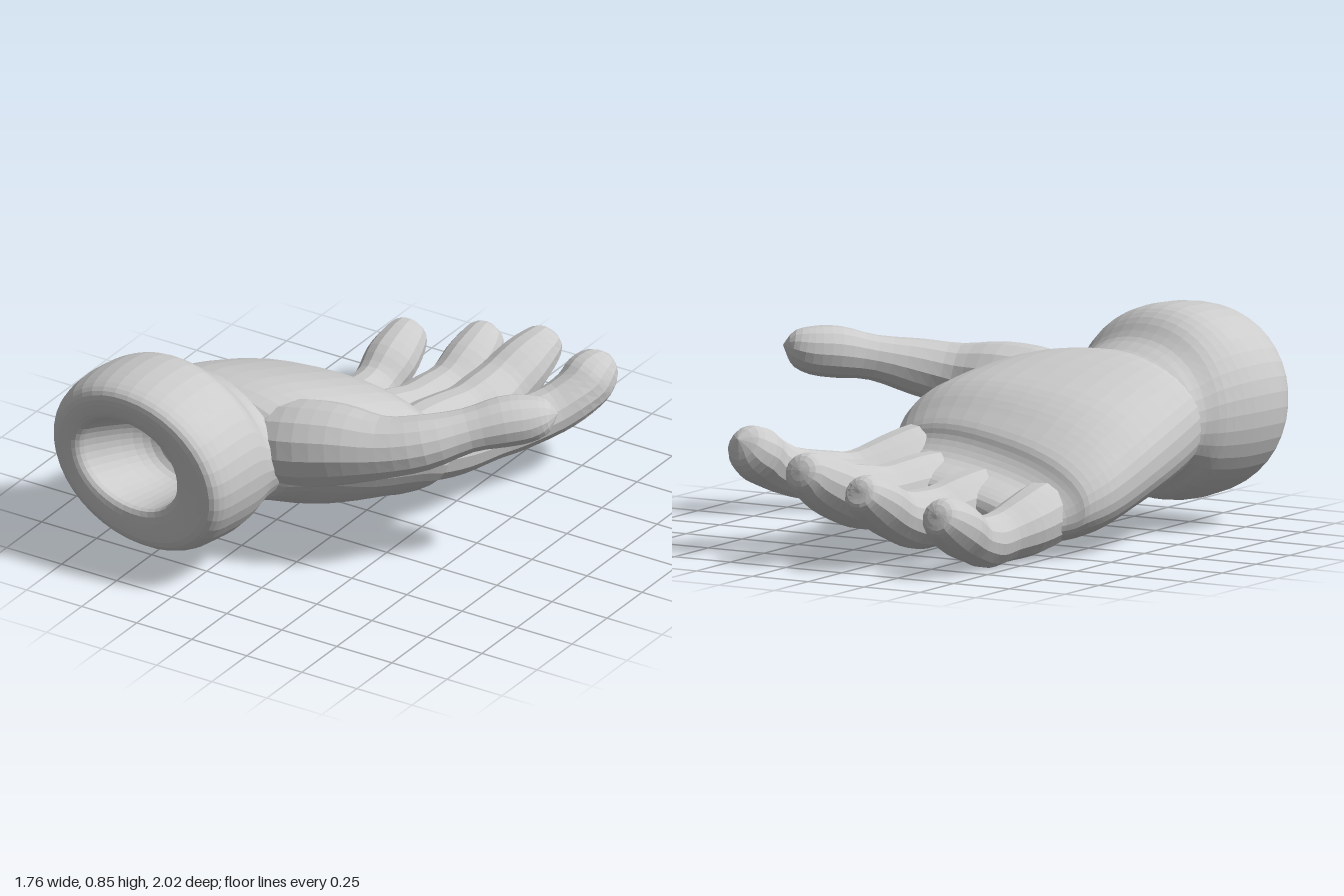
import * as THREE from 'three';

const material = new THREE.MeshStandardMaterial({ color: 0xcccccc, flatShading: true });

// Smooth interpolation through rows of numbers
function spline(rows, steps) {
  const out = [];
  const at = (i) => rows[Math.min(Math.max(i, 0), rows.length - 1)];
  for (let i = 0; i < rows.length - 1; i++) {
    for (let s = 0; s < steps; s++) {
      const t = s / steps;
      out.push(rows[i].map((_, k) => {
        const [a, b, c, d] = [at(i - 1)[k], at(i)[k], at(i + 1)[k], at(i + 2)[k]];
        return b + 0.5 * t * (c - a + t * (2 * a - 5 * b + 4 * c - d + t * (3 * (b - c) + d - a)));
      }));
    }
  }
  out.push(rows[rows.length - 1]);
  return out;
}

// Skin over a list of rings of points
function skin(name, rings) {
  const n = rings[0].length;
  const index = [];
  for (let i = 0; i < rings.length - 1; i++) {
    for (let j = 0; j < n; j++) {
      const a = i * n + j, b = i * n + ((j + 1) % n);
      index.push(a, a + n, b, b, a + n, b + n);
    }
  }
  const geometry = new THREE.BufferGeometry().setFromPoints(rings.flat());
  geometry.setIndex(index);
  geometry.computeVertexNormals();
  const mesh = new THREE.Mesh(geometry, material);
  mesh.name = name;
  return mesh;
}

// Body section: z, centre x, centre y, half width, half height, tilt, z slope in x, z slope in y
// The upper half can be squarer than the lower half
function body(name, sections, topPower, bottomPower, steps = 3, sides = 40) {
  const rings = spline(sections, steps).map(([z, cx, cy, rx, ry, tilt, sx, sy]) => {
    const ring = [];
    for (let j = 0; j < sides; j++) {
      const t = (j / sides) * Math.PI * 2;
      const c = Math.cos(t), s = Math.sin(t);
      const e = 2 / (s > 0 ? topPower : bottomPower);
      const px = Math.sign(c) * Math.abs(c) ** e * Math.max(rx, 0);
      const py = Math.sign(s) * Math.abs(s) ** e * Math.max(ry, 0);
      const x = px * Math.cos(tilt) - py * Math.sin(tilt);
      const y = px * Math.sin(tilt) + py * Math.cos(tilt);
      ring.push(new THREE.Vector3(cx + x, cy + y, z + sx * x + sy * y));
    }
    return ring;
  });
  return skin(name, rings);
}

// Digit: path of x, y, z, radius with a rounded tip
function digit(name, path, sides = 14) {
  const rows = spline(path, 3);
  const up = new THREE.Vector3(0, 1, 0);
  const point = (r) => new THREE.Vector3(r[0], r[1], r[2]);
  const rings = rows.map((row, i) => {
    const d = point(rows[Math.min(i + 1, rows.length - 1)]).sub(point(rows[Math.max(i - 1, 0)])).normalize();
    const u = d.clone().cross(up).normalize();
    const v = u.clone().cross(d);
    return Array.from({ length: sides }, (_, j) => {
      const t = (j / sides) * Math.PI * 2, r = Math.max(row[3], 0);
      return point(row).addScaledVector(u, r * Math.cos(t)).addScaledVector(v, r * Math.sin(t));
    });
  });
  return skin(name, rings);
}

export function createModel() {
  const hand = new THREE.Group();
  hand.name = 'hand';

  // Thick wrist cuff with a flat rim and a hollow cup in its end
  hand.add(body('wristCuff', [
    [0.61, -0.44, 0.43, 0, 0, 0, 0.1, 0.1],
    [0.62, -0.44, 0.43, 0.12, 0.11, 0, 0.1, 0.1],
    [0.69, -0.455, 0.44, 0.18, 0.155, 0, 0.1, 0.1],
    [0.85, -0.485, 0.465, 0.22, 0.183, 0, 0.1, 0.1],
    [0.925, -0.495, 0.475, 0.237, 0.197, 0, 0.1, 0.12],
    [0.95, -0.475, 0.47, 0.3, 0.26, 0, 0.1, 0.13],
    [0.95, -0.46, 0.47, 0.37, 0.325, 0, 0.1, 0.13],
    [0.9, -0.46, 0.47, 0.41, 0.36, 0, 0.09, 0.12],
    [0.8, -0.455, 0.475, 0.425, 0.375, 0, 0.06, 0.05],
    [0.69, -0.44, 0.472, 0.415, 0.376, 0, 0.1, 0],
    [0.6, -0.415, 0.465, 0.39, 0.345, 0, 0.2, 0.05],
    [0.54, -0.39, 0.455, 0.365, 0.285, 0, 0.25, 0.05],
    [0.47, -0.37, 0.45, 0.35, 0.25, 0, 0.25, 0.05],
    [0.38, -0.35, 0.44, 0.3, 0.2, 0, 0.15, 0],
    [0.36, -0.35, 0.44, 0, 0, 0, 0.1, 0],
  ], 2.05, 2.05));

  // Tilted palm with a step down to the webbed finger roots
  hand.add(body('palm', [
    [0.62, -0.36, 0.45, 0, 0, 0, 0, 0],
    [0.58, -0.35, 0.45, 0.3, 0.2, 0, 0, 0],
    [0.45, -0.31, 0.445, 0.43, 0.255, 0.04, 0, 0],
    [0.3, -0.245, 0.405, 0.505, 0.277, 0.06, 0, 0],
    [0.1, -0.195, 0.35, 0.545, 0.268, 0.09, 0.03, 0],
    [0, -0.175, 0.31, 0.545, 0.255, 0.11, 0.08, 0],
    [-0.08, -0.165, 0.275, 0.53, 0.228, 0.12, 0.13, 0],
    [-0.15, -0.155, 0.248, 0.495, 0.195, 0.14, 0.17, 0],
    [-0.18, -0.147, 0.222, 0.465, 0.162, 0.15, 0.18, 0],
    [-0.24, -0.137, 0.2, 0.425, 0.13, 0.15, 0.15, 0],
    [-0.34, -0.13, 0.195, 0.385, 0.1, 0.16, 0.1, 0],
    [-0.4, -0.13, 0.19, 0.31, 0.065, 0.16, 0.1, 0],
    [-0.42, -0.13, 0.19, 0, 0, 0.16, 0.1, 0],
  ], 2.35, 2.1));

  // Fingers and thumb, each swelling at the joints
  const digits = {
    littleFinger: [
      [-0.45, 0.2, -0.1, 0.11], [-0.44, 0.165, -0.25, 0.128], [-0.43, 0.137, -0.38, 0.12],
      [-0.41, 0.115, -0.5, 0.102], [-0.4, 0.106, -0.6, 0.102], [-0.4, 0.13, -0.7, 0.092],
      [-0.4, 0.18, -0.8, 0.105], [-0.4, 0.23, -0.9, 0.09], [-0.4, 0.255, -0.95, 0.062], [-0.4, 0.26, -0.965, 0],
    ],
    ringFinger: [
      [-0.18, 0.22, -0.1, 0.11], [-0.16, 0.2, -0.27, 0.125], [-0.135, 0.18, -0.4, 0.125],
      [-0.115, 0.17, -0.5, 0.115], [-0.1, 0.17, -0.62, 0.115], [-0.08, 0.2, -0.73, 0.1],
      [-0.07, 0.255, -0.84, 0.103], [-0.07, 0.305, -0.94, 0.085], [-0.07, 0.33, -0.98, 0.058], [-0.07, 0.335, -0.993, 0],
    ],
    middleFinger: [
      [0.06, 0.25, -0.1, 0.11], [0.08, 0.24, -0.27, 0.125], [0.1, 0.235, -0.4, 0.12],
      [0.12, 0.23, -0.5, 0.117], [0.14, 0.235, -0.6, 0.127], [0.155, 0.265, -0.72, 0.118],
      [0.18, 0.315, -0.83, 0.112], [0.2, 0.36, -0.92, 0.09], [0.2, 0.38, -0.97, 0.062], [0.2, 0.385, -0.985, 0],
    ],
    indexFinger: [
      [0.17, 0.33, 0.06, 0.11], [0.22, 0.31, -0.06, 0.13], [0.27, 0.285, -0.2, 0.125], [0.33, 0.267, -0.36, 0.1],
      [0.38, 0.275, -0.46, 0.1], [0.46, 0.305, -0.6, 0.097], [0.51, 0.35, -0.69, 0.1],
      [0.53, 0.395, -0.76, 0.106], [0.55, 0.44, -0.82, 0.075], [0.555, 0.46, -0.855, 0],
    ],
    thumb: [
      [-0.2, 0.48, 0.47, 0], [-0.18, 0.48, 0.47, 0.13], [-0.02, 0.505, 0.465, 0.17],
      [0.16, 0.535, 0.44, 0.16], [0.33, 0.555, 0.405, 0.124], [0.47, 0.585, 0.335, 0.11],
      [0.6, 0.625, 0.225, 0.088], [0.7, 0.65, 0.135, 0.1], [0.78, 0.66, 0.07, 0.094],
      [0.84, 0.675, 0.03, 0.065], [0.875, 0.68, 0.01, 0],
    ],
  };
  for (const [name, path] of Object.entries(digits)) hand.add(digit(name, path));

  return hand;
}
